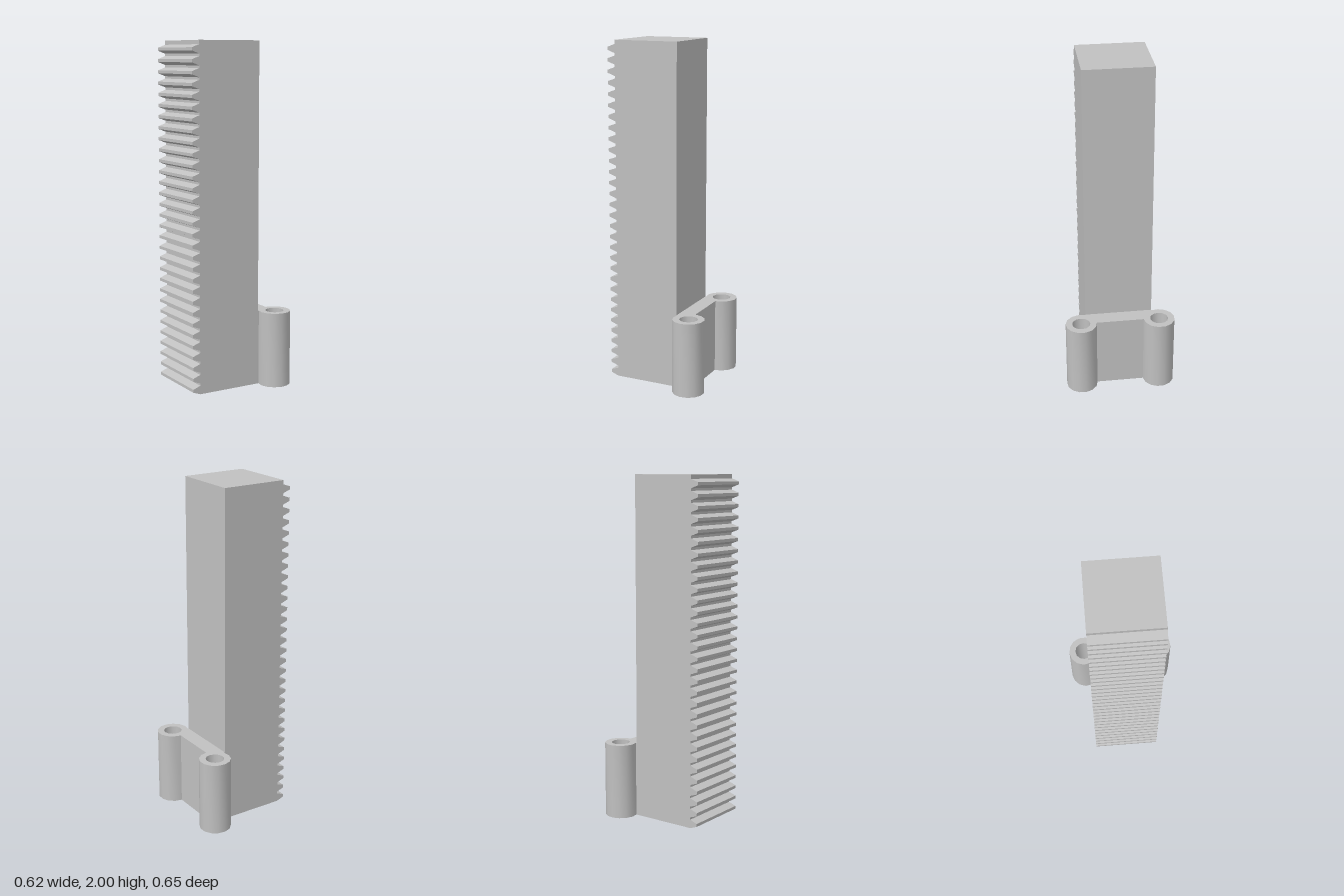
import * as THREE from 'three';
import { toCreasedNormals } from 'three/addons/utils/BufferGeometryUtils.js';

const CREASE = 0.62;

// Extrude a shape and keep its sharp edges
function extrude(shape, depth) {
  const geometry = new THREE.ExtrudeGeometry(shape, { depth, bevelEnabled: false, curveSegments: 6 });
  return toCreasedNormals(geometry, CREASE);
}

export function createModel() {
  const model = new THREE.Group();
  model.name = 'gearRack';
  const grey = new THREE.MeshStandardMaterial({ color: 0xc0c0c0 });
  grey.name = 'grey';

  // Toothed bar: side profile with 31 trapezoid teeth, extruded across its width
  const root = -0.265, tip = -0.311, back = 0.124, height = 2, width = 0.4;
  const pitch = 0.0642, halfBase = 0.0253, halfTip = 0.0086;
  const profile = [new THREE.Vector2(back, 0), new THREE.Vector2(back, height), new THREE.Vector2(root, height)];
  for (let i = 30; i >= 0; i--) {
    const y = halfBase + i * pitch;
    profile.push(
      new THREE.Vector2(root, y + halfBase),
      new THREE.Vector2(tip, y + halfTip),
      new THREE.Vector2(tip, y - halfTip),
      new THREE.Vector2(root, y - halfBase)
    );
  }
  const bar = new THREE.Mesh(extrude(new THREE.Shape(profile), width), grey);
  bar.name = 'toothedBar';
  bar.position.z = -width / 2;
  model.add(bar);

  // Mounting bracket: plate with a round eyelet at each end, drawn in plan
  const eyeX = 0.2165, eyeZ = 0.234, outer = 0.093, inner = 0.054;
  const arc = [];
  for (let i = 0; i <= 11; i++) {
    const a = THREE.MathUtils.degToRad(-90 + i * 26.5);
    arc.push(new THREE.Vector2(eyeX + outer * Math.cos(a), eyeZ + outer * Math.sin(a)));
  }
  const mirrored = arc.map(p => new THREE.Vector2(p.x, -p.y)).reverse();
  const plan = new THREE.Shape([
    new THREE.Vector2(back, -width / 2), ...mirrored,
    ...arc, new THREE.Vector2(back, width / 2)
  ]);
  for (const side of [-1, 1]) {
    const hole = [];
    for (let i = 0; i < 12; i++) {
      const a = -i * Math.PI / 6;
      hole.push(new THREE.Vector2(eyeX + inner * Math.cos(a), side * eyeZ + inner * Math.sin(a)));
    }
    plan.holes.push(new THREE.Path(hole));
  }
  const bracket = new THREE.Mesh(extrude(plan, 0.44), grey);
  bracket.name = 'mountingBracket';
  bracket.rotation.x = -Math.PI / 2;
  model.add(bracket);

  // The whole part stands very slightly turned
  model.rotation.y = 0.0107;
  return model;
}
